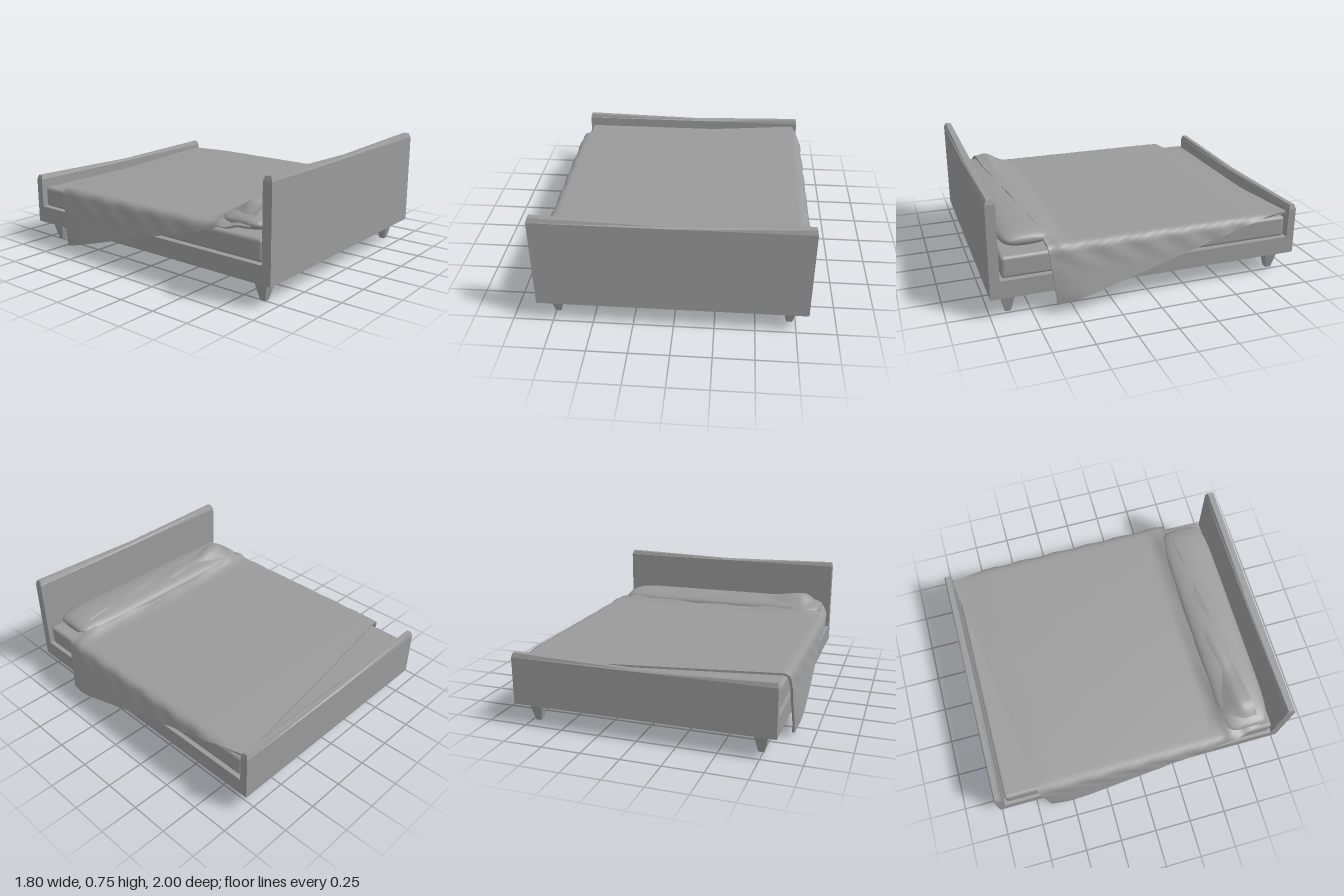
import * as THREE from 'three';
import { RoundedBoxGeometry } from 'three/addons/geometries/RoundedBoxGeometry.js';
import { toCreasedNormals } from 'three/addons/utils/BufferGeometryUtils.js';

const CX = -0.0125; // centre line of the bed; the blanket hangs wider on one side
const smooth = new THREE.MeshStandardMaterial({ color: 0x9a9a9a });
const flat = new THREE.MeshStandardMaterial({ color: 0x9a9a9a, flatShading: true });
const { smoothstep, lerp, clamp } = THREE.MathUtils;

function add(parent, name, geometry, x, y, z, material = smooth) {
  const mesh = new THREE.Mesh(geometry, material);
  mesh.name = name;
  mesh.position.set(x, y, z);
  parent.add(mesh);
  return mesh;
}

// Board with a chamfered top edge that dips toward the middle
function boardGeometry(width, bottom, top, depth) {
  const g = new THREE.BoxGeometry(width, 1, depth, 2, 2, 1);
  const p = g.attributes.position;
  for (let i = 0; i < p.count; i++) {
    const x = p.getX(i), y = p.getY(i);
    if (y < -0.25) p.setY(i, bottom);
    else if (y < 0.25) p.setY(i, top - 0.028);
    else {
      p.setY(i, top - 0.02 * (1 - Math.abs(x) / (width / 2)));
      p.setZ(i, p.getZ(i) * 0.6);
      p.setX(i, x * 0.99);
    }
  }
  return g;
}

// Long soft pillow: lens-shaped in section, with squared ends
function pillowGeometry(hx, hy, hz) {
  const g = new THREE.SphereGeometry(1, 36, 32).rotateZ(Math.PI / 2);
  const p = g.attributes.position;
  const soft = (c, e) => Math.sign(c) * Math.abs(c) ** e;
  for (let i = 0; i < p.count; i++) {
    const x = soft(p.getX(i), 0.25);
    const y = p.getY(i), z = p.getZ(i);
    const r = Math.hypot(y, z) || 1e-6;
    const sag = 1 + 0.05 * Math.sin(x * 8);
    p.setXYZ(i, x * hx, soft(y / r, 0.9) * r ** 0.8 * hy * sag, soft(z / r, 0.9) * r ** 0.35 * hz);
  }
  g.computeVertexNormals();
  return g;
}

// Height of the blanket where it lies on the mattress and climbs the pillow
function blanketTop(x, z) {
  const rise = smoothstep(z, 0.5, 0.74) * (1 - smoothstep(Math.abs(x), 0.64, 0.82) * 0.85);
  const bunch = smoothstep(z, 0.56, 0.7) * smoothstep(-x, 0.35, 0.6) * (1 - smoothstep(-x, 0.66, 0.8));
  const wrinkle = Math.sin((z + 0.12 * x) * 50) * 0.005 + Math.sin(x * 17 + z * 25) * 0.004;
  return 0.428 - 0.01 * smoothstep(-z, 0.6, 0.95) + rise * 0.085 + bunch * 0.025
    + smoothstep(z, 0.5, 0.62) * wrinkle;
}

// Drape a point of the flat, skewed sheet over the long edges of the bed
function drape(u, v, h) {
  const s = lerp(lerp(-1.225, 0.795, u), lerp(-0.8, 1.2, u), v);
  const z = lerp(lerp(-0.65, -0.95, u), lerp(0.83, 0.61, u), v);
  const side = Math.sign(s) || 1, edge = 0.8, r = 0.05;
  const over = Math.abs(s) - edge;
  const top = blanketTop(clamp(s, -edge, edge), z);
  if (over <= 0) return [s + CX, top + h, z];
  const a = Math.min(over / r, Math.PI / 2);
  const fall = Math.max(0, over - r * Math.PI / 2);
  const nearEnd = side > 0 ? 1 - v : v;
  const spread = side > 0 ? 0.057 : 0.04;
  const flare = spread * Math.min(1, fall / 0.27) * smoothstep(nearEnd, -0.12, 0.12);
  // Diagonal pleats just below the fold, fading out downward
  const fade = smoothstep(over, 0, 0.06) * (1 - smoothstep(over, 0.1, 0.25));
  const pleat = 0.004 * Math.sin((z * side + fall * 1.5) * 26) * fade;
  const x = edge + (r + h) * Math.sin(a) + flare + pleat;
  return [side * x + CX, top - r + (r + h) * Math.cos(a) - fall, z];
}

// Closed shell made of an upper and a lower sheet
function blanketGeometry(cols, rows, thickness) {
  const pos = [], idx = [];
  const ring = 2 * (cols + 1);
  for (let i = 0; i <= rows; i++) {
    for (let k = 0; k < ring; k++) {
      const upper = k <= cols;
      const j = upper ? k : ring - 1 - k;
      pos.push(...drape(j / cols, i / rows, upper ? 0 : -thickness));
    }
  }
  const quad = (a, b, c, d) => idx.push(a, b, c, a, c, d);
  for (let i = 0; i < rows; i++) {
    for (let k = 0; k < ring; k++) {
      const n = (k + 1) % ring, r0 = i * ring, r1 = r0 + ring;
      quad(r0 + k, r1 + k, r1 + n, r0 + n);
    }
  }
  const last = rows * ring;
  for (let j = 0; j < cols; j++) {
    const b = ring - 1 - j;
    quad(j, j + 1, b - 1, b);
    quad(last + b, last + b - 1, last + j + 1, last + j);
  }
  const g = new THREE.BufferGeometry();
  g.setAttribute('position', new THREE.Float32BufferAttribute(pos, 3));
  g.setIndex(idx);
  return toCreasedNormals(g, 0.6);
}

export function createModel() {
  const bed = new THREE.Group();
  bed.name = 'bed';

  // Frame, with the base set up inside the rails
  const W = 1.665;
  add(bed, 'headboard', boardGeometry(W, 0.135, 0.755, 0.06), CX, 0, 0.97, flat);
  add(bed, 'footboard', boardGeometry(W, 0.135, 0.468, 0.05), CX, 0, -0.975, flat);
  for (const side of [-1, 1]) {
    add(bed, 'sideRail', new THREE.BoxGeometry(0.035, 0.113, 1.89), CX + side * (W / 2 - 0.0175), 0.1915, -0.005);
  }
  add(bed, 'bedBase', new THREE.BoxGeometry(W - 0.07, 0.043, 1.89), CX, 0.2265, -0.005);

  // Tapered square legs
  const legProfile = [[0, 0], [0.018, 0], [0.04, 0.098], [0.033, 0.14], [0.033, 0.21]]
    .map(([half, y]) => new THREE.Vector2(half * Math.SQRT2, y));
  const legGeometry = new THREE.LatheGeometry(legProfile, 4).rotateY(Math.PI / 4);
  for (const x of [-0.725, 0.725]) {
    for (const z of [0.885, -0.885]) add(bed, 'leg', legGeometry, CX + x, 0, z, flat);
  }

  // Bedding
  add(bed, 'mattress', new RoundedBoxGeometry(1.63, 0.138, 1.86, 3, 0.022), CX, 0.32, -0.005);
  add(bed, 'pillow', pillowGeometry(0.775, 0.06, 0.165), -0.03, 0.446, 0.752);
  add(bed, 'blanket', blanketGeometry(90, 80, 0.014), 0, 0, 0);
  return bed;
}
